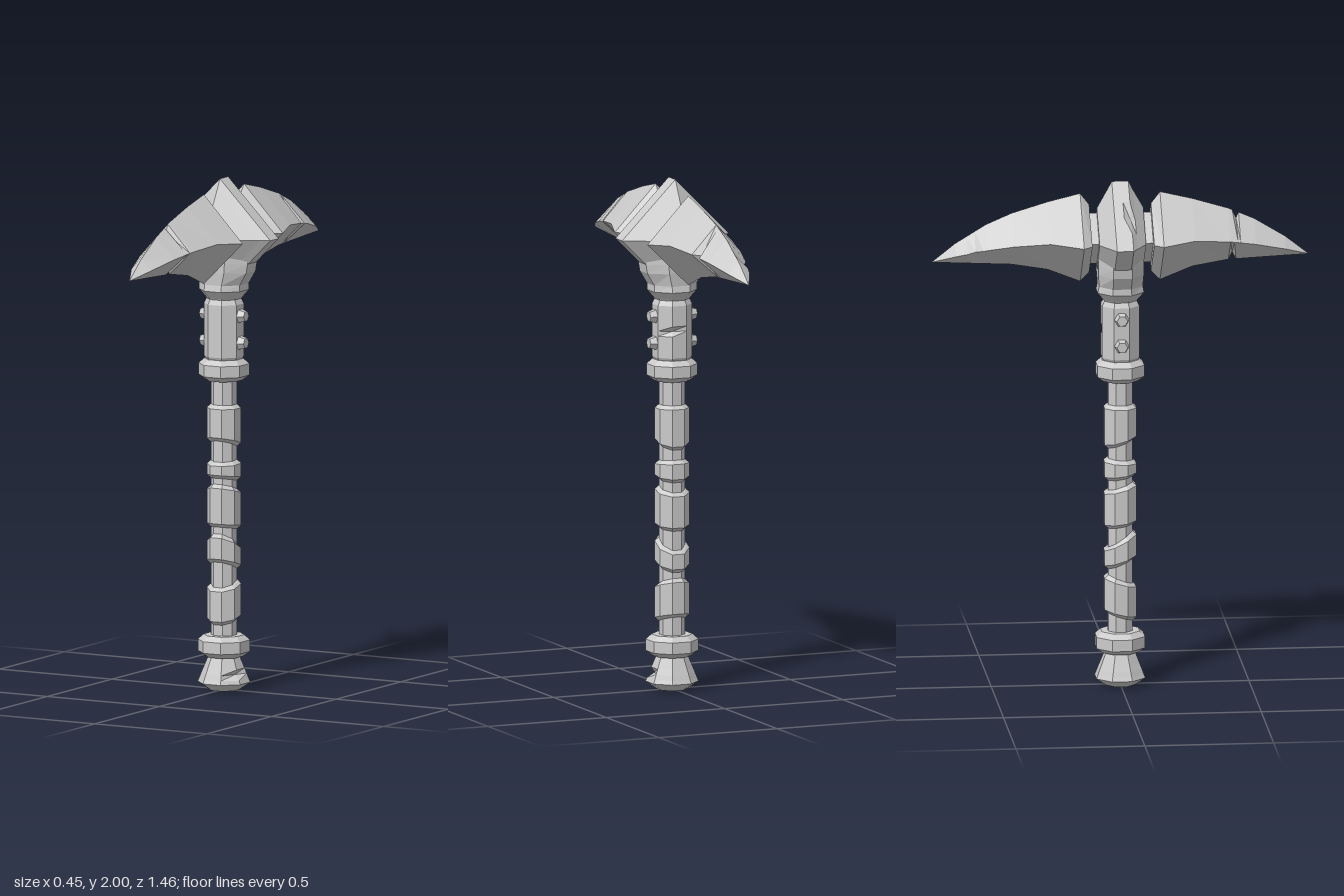
import * as THREE from 'three';

const material = new THREE.MeshStandardMaterial({ color: 0xcccccc, flatShading: true });

// Skin a list of equal-length rings (counter-clockwise seen from the end of the axis), with caps.
function loft(rings, name) {
  const pos = [];
  const tri = (...pts) => pts.forEach((p) => pos.push(p.x, p.y, p.z));
  const n = rings[0].length;
  for (let i = 0; i < rings.length - 1; i++) {
    for (let j = 0; j < n; j++) {
      const k = (j + 1) % n;
      const [a, b, c, d] = [rings[i][j], rings[i][k], rings[i + 1][k], rings[i + 1][j]];
      tri(a, b, c);
      tri(a, c, d);
    }
  }
  const first = rings[0], last = rings[rings.length - 1];
  for (let j = 1; j < n - 1; j++) {
    tri(first[0], first[j + 1], first[j]);
    tri(last[0], last[j], last[j + 1]);
  }
  const geo = new THREE.BufferGeometry();
  geo.setAttribute('position', new THREE.Float32BufferAttribute(pos, 3));
  geo.computeVertexNormals();
  const mesh = new THREE.Mesh(geo, material);
  mesh.name = name;
  return mesh;
}

// Octagon with flats facing the axes; tilt raises +z, nick pulls one corner inwards.
function octagon(y, hx, hz = hx, tilt = 0, nick = -1, depth = 0) {
  return Array.from({ length: 8 }, (_, k) => {
    const a = Math.PI / 8 + (k * Math.PI) / 4;
    const s = (1 - (k === nick ? depth : 0)) / Math.cos(Math.PI / 8);
    const z = -Math.sin(a) * s * hz;
    return new THREE.Vector3(Math.cos(a) * s * hx, y + (tilt * z) / hz, z);
  });
}
const stack = (name, rows) => loft(rows.map((r) => octagon(...r)), name);

const HEAD_Y = 1.775;

// Diamond ring with spare points on the upper -x edge so it can be chipped.
function diamond(z, r, chip = 0) {
  const edge = [[0.3, 0], [0.52, chip], [0.75, 0]].map(([t, c]) =>
    new THREE.Vector3(-t * r + c, HEAD_Y + (1 - t) * r - c, z));
  return [new THREE.Vector3(0, HEAD_Y + r, z), ...edge, new THREE.Vector3(-r, HEAD_Y, z),
    new THREE.Vector3(0, HEAD_Y - r, z), new THREE.Vector3(r, HEAD_Y, z)];
}

// Blade sections: z, top y, side-ridge y, bottom y, half width
const BLADE = [
  [0.12, 1.91, 1.775, 1.64, 0.14],
  [0.155, 1.955, 1.775, 1.605, 0.173],
  [0.28, 1.925, 1.787, 1.655, 0.133],
  [0.42, 1.883, 1.773, 1.679, 0.103],
  [0.52, 1.84, 1.755, 1.684, 0.078],
  [0.64, 1.767, 1.725, 1.69, 0.044],
  [0.73, 1.696, 1.695, 1.694, 0.001],
];

function bladeRow(z) {
  const i = Math.min(BLADE.findIndex((r, k) => k > 0 && z <= r[0]), BLADE.length - 1);
  const a = BLADE[i - 1], b = BLADE[i];
  const t = (z - a[0]) / (b[0] - a[0]);
  return a.map((v, k) => v + (b[k] - v) * t);
}

// One blade; notches are [z, corner (0 top, 1 -x, 2 bottom, 3 +x), depth, half length]
function blade(name, dir, notches) {
  const zs = new Set(BLADE.map((r) => r[0]));
  notches.forEach(([z, , , w]) => [z - w, z, z + w].forEach((v) => zs.add(v)));
  const rings = [...zs].sort((a, b) => a - b).map((z) => {
    const [, top, side, bottom, w] = bladeRow(z);
    const ring = [[0, top], [-w, side], [0, bottom], [w, side]]
      .map(([x, y]) => new THREE.Vector3(x, y, z * dir));
    const centre = new THREE.Vector3(0, side, z * dir);
    notches.filter((n) => n[0] === z).forEach(([, corner, depth]) => {
      const d = centre.clone().sub(ring[corner]).setLength(depth);
      ring[corner].add(d);
    });
    return ring;
  });
  return loft(dir > 0 ? rings : rings.reverse(), name);
}

export function createModel() {
  const model = new THREE.Group();

  // Handle
  model.add(stack('shaft', [[0.1, 0.047], [1.3, 0.047]]));
  model.add(stack('pommel', [
    [0, 0.055], [0.03, 0.095], [0.045, 0.089],
    [0.065, 0.082, 0.082, 0, 7, 0.25], [0.085, 0.074], [0.135, 0.055],
  ]));
  const collar = (name, y0, y1, h) => model.add(stack(name, [
    [y0, h * 0.72], [y0 + 0.02, h], [y1 - 0.02, h], [y1, h * 0.78],
  ]));
  collar('lowerCollar', 0.13, 0.215, 0.094);
  collar('upperCollar', 1.21, 1.295, 0.091);

  // Grip wraps: bottom, top, bottom tilt, top tilt
  const wraps = [
    [0.28, 0.415, -0.015, -0.018],
    [0.49, 0.575, 0.02, 0.032],
    [0.64, 0.785, 0.008, 0.016],
    [0.83, 0.892, 0.008, -0.004],
    [0.967, 1.11, 0.017, 0],
  ];
  wraps.forEach(([y0, y1, t0, t1]) => model.add(stack('gripWrap', [
    [y0 - 0.008, 0.047, 0.047, t0], [y0 + 0.006, 0.062, 0.062, t0],
    [y1 - 0.008, 0.062, 0.062, t1], [y1 + 0.006, 0.047, 0.047, t1],
  ])));

  // Studded sleeve
  model.add(stack('sleeve', [
    [1.28, 0.06], [1.305, 0.072], [1.39, 0.072], [1.41, 0.072, 0.072, 0, 1, 0.2],
    [1.43, 0.072], [1.51, 0.072], [1.535, 0.06],
  ]));
  for (const side of [-1, 1]) {
    for (const y of [1.36, 1.465]) {
      const stud = new THREE.Mesh(new THREE.CylinderGeometry(0.021, 0.033, 0.04, 6), material);
      stud.name = 'stud';
      stud.rotation.z = (-side * Math.PI) / 2;
      stud.position.set(side * 0.079, y, 0);
      model.add(stud);
    }
  }

  // Socket flaring up into the head
  model.add(stack('headSocket', [
    [1.525, 0.06], [1.535, 0.066], [1.565, 0.09], [1.59, 0.09, 0.085],
    [1.64, 0.12, 0.088], [1.675, 0.126, 0.088], [1.75, 0.126, 0.088],
  ]));

  // Bevelled head block and the narrower bar through it
  model.add(loft([
    diamond(-0.09, 0.12), diamond(-0.032, 0.225), diamond(0.005, 0.225),
    diamond(0.032, 0.225, 0.015), diamond(0.05, 0.19), diamond(0.09, 0.12),
  ], 'headBlock'));
  model.add(loft([diamond(-0.13, 0.1), diamond(0.13, 0.1)], 'headBar'));

  // Blades
  model.add(blade('frontBlade', 1, [[0.45, 0, 0.025, 0.035], [0.435, 2, 0.028, 0.025]]));
  model.add(blade('rearBlade', -1, [[0.44, 3, 0.03, 0.025], [0.565, 1, 0.012, 0.03]]));

  return model;
}
